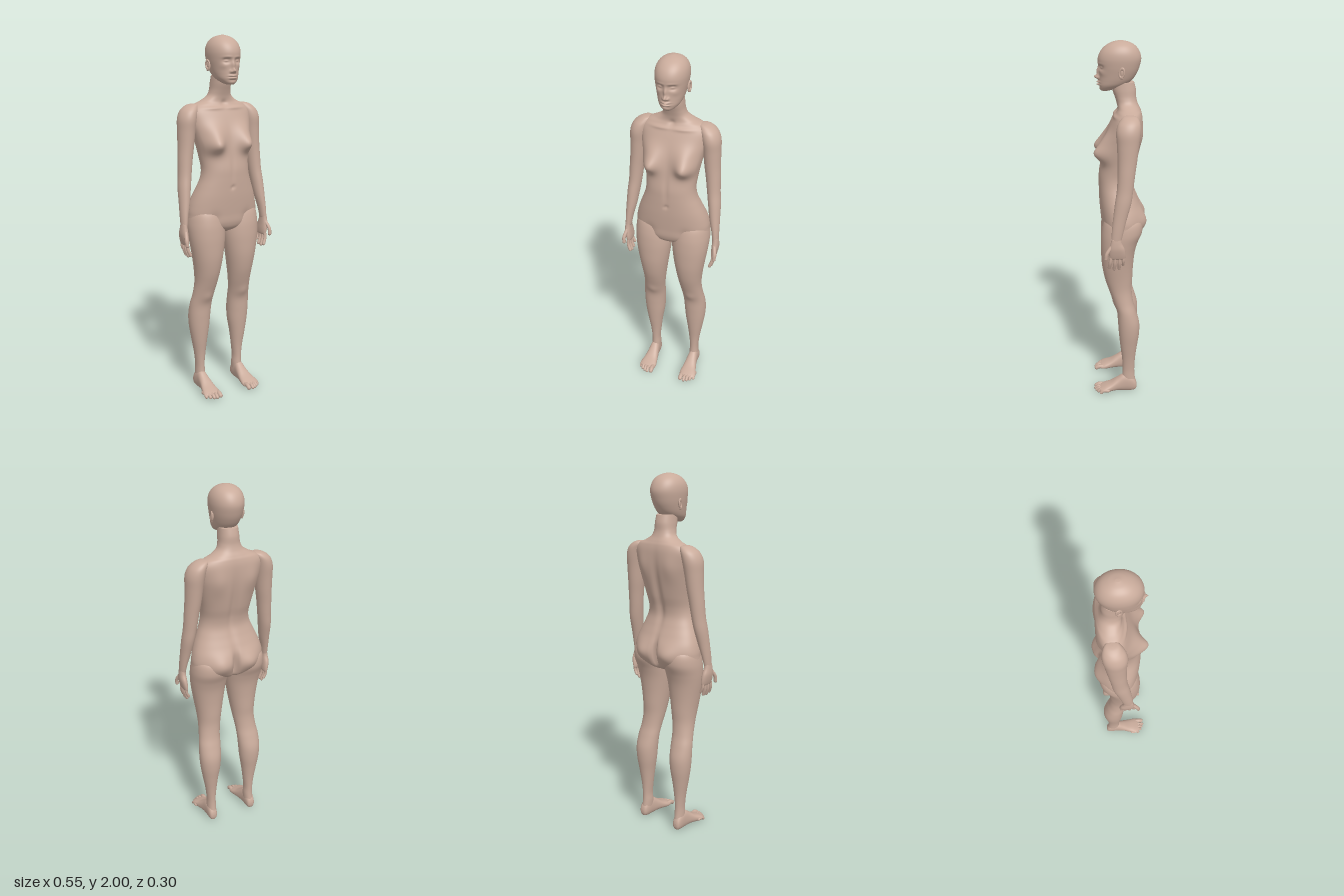
import * as THREE from 'three';
import { mergeGeometries } from 'three/addons/utils/BufferGeometryUtils.js';

const skin = new THREE.MeshStandardMaterial({ color: 0xc9ab9b });
skin.name = 'skin';

const spline = (a, b, c, d, t) =>
  b + 0.5 * t * (c - a + t * (2 * a - 5 * b + 4 * c - d + t * (3 * (b - c) + d - a)));

// Sum of soft swellings [x, y, height, width, tall], the same on both sides
const swell = (list, x, y) => list.reduce((sum, [bx, by, h, sx, sy]) =>
  sum + h * Math.exp(-(((Math.abs(x) - bx) / sx) ** 2) - ((y - by) / sy) ** 2), 0);

// Smooth closed skin through rings [y, xMin, xMax, zFront, zBack], listed upwards
function loft(rings, { sides = 40, steps = 5, power = 2, front = [], back = [] } = {}) {
  const pos = [], index = [], rows = (rings.length - 1) * steps + 1;
  const ring = i => rings[Math.min(Math.max(i, 0), rings.length - 1)];
  const bend = v => Math.sign(v) * Math.abs(v) ** (2 / power);
  for (let r = 0; r < rows; r++) {
    const k = Math.min(Math.floor(r / steps), rings.length - 2), t = r / steps - k;
    const [y, x0, x1, zf, zb] = ring(k).map((_, n) =>
      spline(ring(k - 1)[n], ring(k)[n], ring(k + 1)[n], ring(k + 2)[n], t));
    for (let s = 0; s < sides; s++) {
      const a = s / sides * Math.PI * 2, sin = Math.sin(a);
      const x = (x0 + x1) / 2 + (x1 - x0) / 2 * bend(Math.cos(a));
      const z = (zf + zb) / 2 + (zf - zb) / 2 * bend(sin);
      const fade = Math.min(1, 3 * Math.abs(sin));
      pos.push(x, y, z + fade * (sin > 0 ? swell(front, x, y) : -swell(back, x, y)));
      if (r < rows - 1) {
        const p = r * sides + s, q = r * sides + (s + 1) % sides;
        index.push(p, p + sides, q, q, p + sides, q + sides);
      }
    }
  }
  // End caps
  const first = rings[0], last = rings[rings.length - 1], base = rows * sides;
  for (const e of [first, last]) pos.push((e[1] + e[2]) / 2, e[0], (e[3] + e[4]) / 2);
  for (let s = 0; s < sides; s++) {
    const n = (s + 1) % sides, top = (rows - 1) * sides;
    index.push(base, s, n, base + 1, top + n, top + s);
  }
  const geo = new THREE.BufferGeometry();
  geo.setAttribute('position', new THREE.Float32BufferAttribute(pos, 3));
  geo.setIndex(index);
  geo.computeVertexNormals();
  return geo;
}

// Rounded finger or toe along a bent path
function digit(points, radius) {
  const path = new THREE.CatmullRomCurve3(points.map(p => new THREE.Vector3(...p)));
  const ends = [points[0], points[points.length - 1]].map(p =>
    new THREE.SphereGeometry(radius, 12, 8).translate(...p));
  return mergeGeometries([new THREE.TubeGeometry(path, 12, radius, 12), ...ends]);
}

function mirrored(geo) {
  const copy = geo.clone().scale(-1, 1, 1), i = copy.index;
  for (let n = 0; n < i.count; n += 3) {
    const a = i.getX(n);
    i.setX(n, i.getX(n + 1));
    i.setX(n + 1, a);
  }
  copy.computeVertexNormals();
  return copy;
}

const even = rings => rings.map(([y, w, f, b]) => [y, -w, w, f, b]);

export function createModel() {
  const model = new THREE.Group();
  model.name = 'figure';
  const add = (name, geo) => {
    const mesh = new THREE.Mesh(geo, skin);
    mesh.name = name;
    model.add(mesh);
  };
  const addPair = (name, geo) => {
    add(name + 'Left', geo);
    add(name + 'Right', mirrored(geo));
  };

  // Torso and neck
  add('torso', loft(even([
    [0.94, 0.02, 0.03, -0.05], [0.965, 0.11, 0.075, -0.1], [1, 0.198, 0.093, -0.12],
    [1.05, 0.208, 0.098, -0.13], [1.1, 0.2, 0.103, -0.126], [1.15, 0.183, 0.107, -0.108],
    [1.2, 0.162, 0.109, -0.088], [1.25, 0.143, 0.11, -0.074], [1.3, 0.136, 0.109, -0.078],
    [1.36, 0.142, 0.1, -0.095], [1.42, 0.153, 0.09, -0.108], [1.48, 0.165, 0.077, -0.118],
    [1.54, 0.178, 0.058, -0.124], [1.6, 0.182, 0.034, -0.125], [1.635, 0.155, 0.015, -0.12],
    [1.655, 0.11, 0.008, -0.112], [1.68, 0.071, 0.011, -0.1], [1.71, 0.057, 0.02, -0.092],
    [1.75, 0.053, 0.034, -0.09], [1.79, 0.05, 0.04, -0.08],
  ]), {
    sides: 112, steps: 8, power: 2.25,
    front: [
      [0.098, 1.425, 0.05, 0.048, 0.042], [0.09, 1.48, 0.028, 0.055, 0.055], // breasts
      [0, 1.2, -0.008, 0.009, 0.011], [0, 1.3, -0.005, 0.012, 0.08],         // navel, midline
      [0.06, 1.62, 0.007, 0.06, 0.009], [0, 1.645, -0.008, 0.016, 0.015],    // collarbones
      [0.1, 1.02, -0.008, 0.03, 0.04],                                       // groin
    ],
    back: [
      [0.088, 1.045, 0.026, 0.062, 0.055], [0, 1.04, -0.04, 0.013, 0.07],    // buttocks, cleft
      [0, 1.36, -0.016, 0.022, 0.17], [0.095, 1.52, 0.011, 0.045, 0.07],     // spine, blades
    ],
  }));

  // Head with sculpted face
  add('head', loft(even([
    [1.745, 0.018, 0.092, 0.05], [1.755, 0.036, 0.1, 0.015], [1.775, 0.055, 0.104, -0.035],
    [1.8, 0.066, 0.103, -0.07], [1.835, 0.075, 0.102, -0.094], [1.87, 0.082, 0.106, -0.108],
    [1.91, 0.086, 0.108, -0.116], [1.945, 0.081, 0.095, -0.107], [1.973, 0.065, 0.069, -0.086],
    [1.991, 0.04, 0.036, -0.055], [2, 0.008, 0.002, -0.02],
  ]), {
    sides: 144, steps: 10, power: 2.1,
    front: [
      [0, 1.816, 0.024, 0.009, 0.011], [0, 1.842, 0.013, 0.009, 0.022],      // nose
      [0.013, 1.812, 0.011, 0.006, 0.007],                                   // nostrils
      [0.032, 1.868, -0.017, 0.018, 0.013], [0.033, 1.867, 0.011, 0.012, 0.006], // eyes
      [0.03, 1.886, 0.004, 0.022, 0.006],                                    // brows
      [0, 1.791, 0.013, 0.018, 0.005], [0, 1.778, 0.012, 0.016, 0.005],      // lips
      [0, 1.7845, -0.006, 0.02, 0.0025], [0, 1.768, -0.004, 0.02, 0.005],    // mouth, chin fold
      [0.048, 1.84, 0.004, 0.016, 0.015],                                    // cheeks
    ],
  }));

  // Ears
  addPair('ear', mergeGeometries([
    new THREE.TorusGeometry(0.013, 0.0045, 10, 28).scale(1, 1.75, 1),
    new THREE.SphereGeometry(0.012, 16, 12).scale(1, 1.7, 0.5).translate(0, 0, -0.005),
    new THREE.SphereGeometry(0.007, 12, 8).scale(1, 1.2, 0.7).translate(0.006, -0.022, 0),
  ]).rotateZ(-0.15).rotateY(Math.PI / 2 - 0.3).translate(0.085, 1.845, -0.014));

  // Arms
  addPair('arm', loft([
    [0.99, 0.24, 0.272, 0.046, -0.006], [1.05, 0.23, 0.272, 0.042, -0.02],
    [1.12, 0.213, 0.27, 0.035, -0.038], [1.2, 0.199, 0.267, 0.025, -0.06],
    [1.27, 0.188, 0.26, 0.015, -0.07], [1.35, 0.177, 0.256, 0.011, -0.08],
    [1.42, 0.166, 0.252, 0.011, -0.09], [1.5, 0.156, 0.25, 0.014, -0.1],
    [1.56, 0.146, 0.248, 0.018, -0.108], [1.6, 0.138, 0.234, 0.01, -0.108],
    [1.625, 0.13, 0.211, -0.006, -0.1], [1.639, 0.132, 0.184, -0.022, -0.086],
    [1.643, 0.145, 0.162, -0.045, -0.062],
  ], { steps: 6 }));

  // Hands
  addPair('hand', loft([
    [0.892, 0.242, 0.258, 0.048, -0.024], [0.9, 0.237, 0.263, 0.054, -0.029],
    [0.925, 0.236, 0.27, 0.057, -0.03], [0.955, 0.238, 0.275, 0.055, -0.025],
    [0.985, 0.24, 0.274, 0.048, -0.012], [1.01, 0.24, 0.271, 0.044, -0.008],
  ], { power: 2.3 }));
  // Rows: base z, tip z, tip y
  [[0.045, 0.056, 0.84], [0.022, 0.03, 0.832], [0, 0.004, 0.835], [-0.02, -0.018, 0.855]]
    .forEach(([z, tipZ, tipY], n) => addPair('finger' + (n + 1), digit([
      [0.251, 0.91, z], [0.25, 0.5 * (0.905 + tipY), 0.5 * (z + tipZ)], [0.238, tipY, tipZ],
    ], n === 3 ? 0.0078 : 0.009)));
  addPair('thumb', digit([[0.258, 0.965, 0.045], [0.267, 0.928, 0.069], [0.266, 0.9, 0.074]], 0.01));

  // Legs
  addPair('leg', loft([
    [0.05, 0.1, 0.152, -0.012, -0.097], [0.1, 0.098, 0.15, -0.018, -0.09],
    [0.15, 0.1, 0.15, -0.02, -0.088], [0.22, 0.093, 0.158, -0.016, -0.092],
    [0.3, 0.083, 0.172, -0.006, -0.102], [0.38, 0.07, 0.185, 0.002, -0.113],
    [0.45, 0.064, 0.19, 0.007, -0.113], [0.52, 0.06, 0.187, 0.013, -0.095],
    [0.58, 0.056, 0.178, 0.032, -0.078], [0.65, 0.046, 0.173, 0.058, -0.07],
    [0.72, 0.035, 0.178, 0.08, -0.073], [0.8, 0.022, 0.19, 0.095, -0.077],
    [0.88, 0.01, 0.203, 0.1, -0.086], [0.94, 0.004, 0.21, 0.1, -0.102],
    [1, 0.004, 0.212, 0.095, -0.125], [1.06, 0.012, 0.202, 0.08, -0.12],
    [1.1, 0.04, 0.17, 0.05, -0.08],
  ], { sides: 56, steps: 6, power: 2.1, front: [[0.115, 0.57, 0.006, 0.03, 0.03]] }));

  // Feet, lofted from heel to toes: rows are z, xMin, xMax, -bottom, -top
  addPair('foot', loft([
    [-0.102, 0.118, 0.138, -0.025, -0.045], [-0.094, 0.106, 0.149, -0.007, -0.07],
    [-0.07, 0.1, 0.154, 0, -0.1], [-0.03, 0.098, 0.155, 0, -0.11],
    [0.01, 0.092, 0.16, -0.003, -0.084], [0.05, 0.085, 0.17, -0.002, -0.056],
    [0.085, 0.08, 0.179, 0, -0.04], [0.108, 0.084, 0.172, -0.003, -0.03],
    [0.117, 0.095, 0.155, -0.008, -0.023],
  ], { power: 2.3 }).rotateX(Math.PI / 2));
  for (let n = 0; n < 5; n++) {
    const x = n ? 0.102 + n * 0.0172 : 0.096, r = n ? 0.0092 : 0.0125;
    const tip = n ? 0.144 - n * n * 0.0022 : 0.138;
    addPair('toe' + (n + 1), digit([[x, 0.02, tip - 0.045], [x, 0.02, tip - 0.018], [x, r, tip - r * 0.3]], r));
  }
  return model;
}
